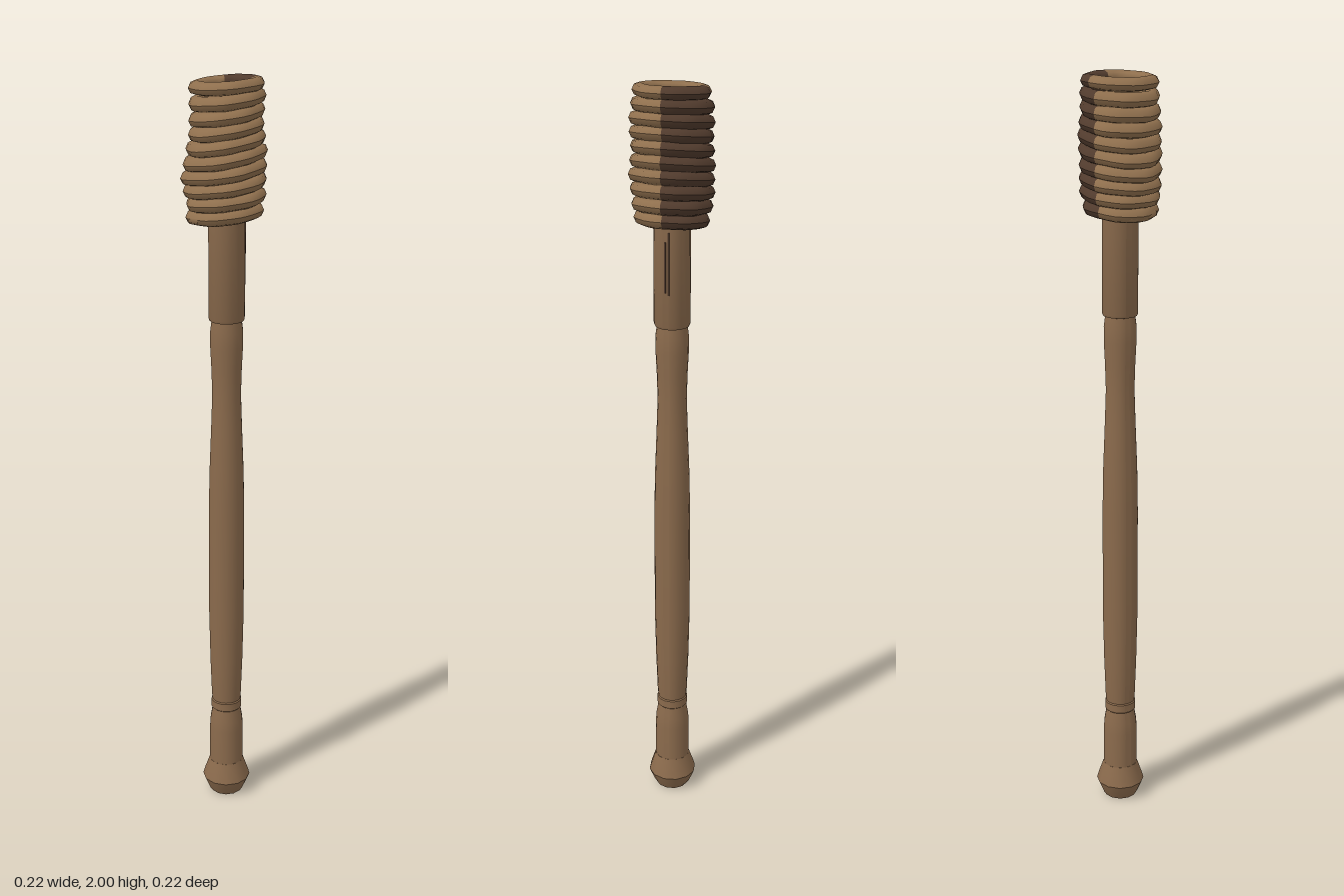
import * as THREE from 'three';
import { toCreasedNormals } from 'three/addons/utils/BufferGeometryUtils.js';

const AXIS = 0.01; // the shaft stands slightly off centre

export function createModel() {
  const model = new THREE.Group();
  const wood = new THREE.MeshStandardMaterial({ color: 0x8a6a4c });
  wood.name = 'wood';
  const wrap = new THREE.MeshStandardMaterial({ color: 0x90704e });
  wrap.name = 'wrapping';
  const charred = new THREE.MeshStandardMaterial({ color: 0x513b2d });
  charred.name = 'charred wrapping';

  function add(name, geometry, material, parent = model) {
    const mesh = new THREE.Mesh(geometry, material);
    mesh.name = name;
    parent.add(mesh);
    return mesh;
  }

  // Turned parts, profile given as [radius, height] from bottom to top
  function turned(name, profile, material = wood, sides = 18) {
    const points = profile.map(([r, y]) => new THREE.Vector2(r, y));
    const geometry = toCreasedNormals(new THREE.LatheGeometry(points, sides), 0.6);
    geometry.translate(AXIS, 0, 0);
    return add(name, geometry, material);
  }

  turned('pommel', [[0, 0], [0.044, 0], [0.052, 0.012], [0.066, 0.045], [0.062, 0.06], [0.048, 0.1], [0, 0.1]], wood, 12);
  turned('lowerGrip', [[0.047, 0.095], [0.047, 0.2], [0.045, 0.23], [0.039, 0.265], [0, 0.265]]);
  turned('collar', [[0.036, 0.262], [0.042, 0.268], [0.042, 0.29], [0.036, 0.297]]);
  turned('shaft', [[0.039, 0.29], [0.041, 0.31], [0.045, 0.42], [0.048, 0.56], [0.048, 0.85],
    [0.046, 0.97], [0.041, 1.1], [0.038, 1.19], [0.04, 1.26], [0.043, 1.32], [0.043, 1.36], [0.039, 1.39]]);
  turned('upperSleeve', [[0.036, 1.386], [0.044, 1.388], [0.047, 1.395], [0.047, 1.7], [0, 1.7]]);

  // Dark splits in the upper sleeve
  for (const [z, y, h] of [[-0.008, 1.56, 0.16], [0.001, 1.55, 0.13]]) {
    const split = add('sleeveSplit', new THREE.BoxGeometry(0.004, h, 0.004), charred);
    split.position.set(AXIS + 0.046, y, z);
  }

  // Wound head: slightly tilted, uneven coils stacked around a core
  const head = new THREE.Group();
  head.name = 'wrappedHead';
  model.add(head);
  const coils = 10;
  const radiiX = [0.072, 0.079, 0.08, 0.08, 0.079, 0.077, 0.075, 0.074, 0.074, 0.073];
  const radiiZ = [0.076, 0.082, 0.085, 0.087, 0.087, 0.086, 0.086, 0.085, 0.083, 0.078];
  const bulge = [0.011, 0.005, 0.01, 0.013, 0.011, 0.005, 0, 0, 0, 0];
  const tilt = [0.11, 0.12, 0.14, 0.16, 0.17, 0.17, 0.16, 0.14, 0.11, 0.07];

  function coilPart(i, start, end, segments) {
    const tube = 0.02;
    const geometry = new THREE.TorusGeometry(1, tube, 8, segments, end - start);
    geometry.rotateZ(start).rotateX(-Math.PI / 2);
    const p = geometry.attributes.position;
    const height = 1.666 + i * 0.0346;
    for (let k = 0; k < p.count; k++) {
      const x = p.getX(k), z = p.getZ(k);
      const a = Math.atan2(z, x);
      const across = Math.hypot(x, z) - 1;
      const lump = 0.002 * Math.sin(7 * a + i * 1.9) + 0.0015 * Math.sin(4 * a - i * 1.3);
      const left = Math.max(0, -Math.cos(a)) ** 2 * bulge[i];
      const px = Math.cos(a) * (radiiX[i] + lump + left + across);
      const pz = Math.sin(a) * (radiiZ[i] + lump + across);
      const thick = i === coils - 1 ? 0.85 : 0.95;
      p.setXYZ(k, AXIS + px, height + p.getY(k) * thick + px * tilt[i], pz);
    }
    geometry.computeVertexNormals();
    return geometry;
  }

  for (let i = 0; i < coils; i++) {
    const from = 0.06;
    const to = i === coils - 1 ? 1.7 : 2.0;
    add('charredCoil', coilPart(i, from, to, 8), charred, head);
    add('coil', coilPart(i, to, from + 2 * Math.PI, 18), wrap, head);
  }

  // Loose end of the wrapping at the lower side
  const tail = new THREE.CatmullRomCurve3([
    new THREE.Vector3(-0.052, 1.656, 0.06), new THREE.Vector3(-0.075, 1.653, 0.025),
    new THREE.Vector3(-0.077, 1.652, -0.015), new THREE.Vector3(-0.06, 1.655, -0.05),
  ]);
  add('looseEnd', new THREE.TubeGeometry(tail, 10, 0.012, 6), wrap, head);

  // Core closing the head below, with a sunken charred top
  const core = turned('headCore', [[0.045, 1.656], [0.074, 1.662], [0.075, 1.95]], wrap);
  core.scale.z = 1.08;
  turned('charredHollow', [[0.078, 1.965], [0.06, 1.962], [0.056, 1.967], [0.054, 1.969], [0, 1.969]], charred, 24);

  return model;
}
